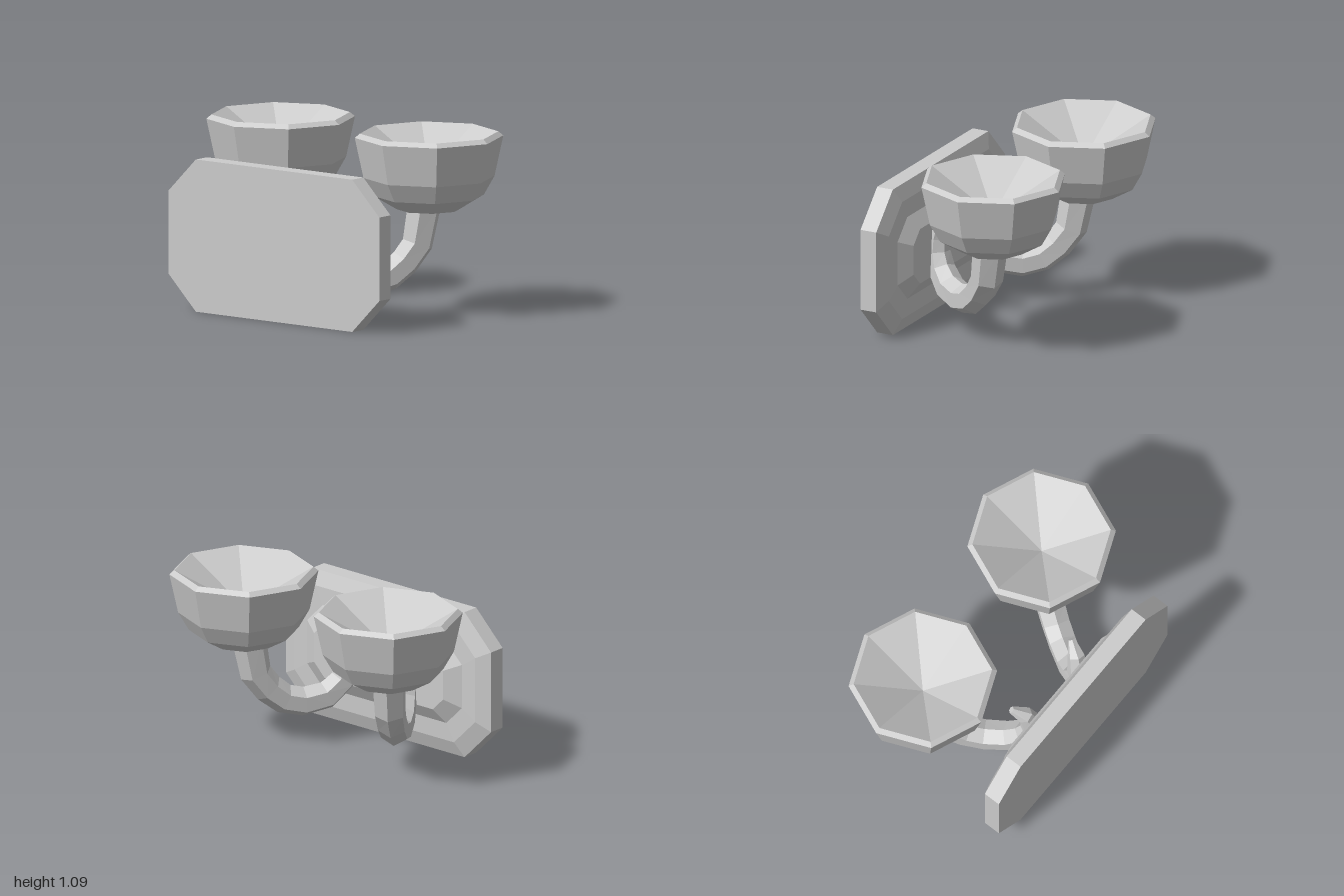
import * as THREE from 'three';

const material = new THREE.MeshStandardMaterial({ color: 0xcccccc, flatShading: true });

function named(geometry, name) {
  const mesh = new THREE.Mesh(geometry, material);
  mesh.name = name;
  return mesh;
}

// Closed skin over rings of points that run anticlockwise about the direction of travel
function loft(rings) {
  const pos = [], index = [];
  const n = rings[0].length, last = rings.length - 1;
  rings.forEach(r => r.forEach(p => pos.push(p.x, p.y, p.z)));
  for (let i = 0; i < last; i++) {
    for (let j = 0; j < n; j++) {
      const a = i * n + j, b = i * n + (j + 1) % n;
      index.push(a, b, b + n, a, b + n, a + n);
    }
  }
  for (let j = 1; j < n - 1; j++) {
    index.push(0, j + 1, j);
    index.push(last * n, last * n + j, last * n + j + 1);
  }
  const g = new THREE.BufferGeometry();
  g.setAttribute('position', new THREE.Float32BufferAttribute(pos, 3));
  g.setIndex(index);
  g.computeVertexNormals();
  return g;
}

// Rectangle with cut corners, at depth z
function plateRing([w, h, cut, z]) {
  const pts = [
    [w, -h + cut], [w, h - cut], [w - cut, h], [-w + cut, h],
    [-w, h - cut], [-w, -h + cut], [-w + cut, -h], [w - cut, -h],
  ];
  return pts.map(([x, y]) => new THREE.Vector3(x, y + 0.454, z));
}

// Hook centre line: z, y, radius
const HOOK = [
  [-0.135, 0.66, 0.104], [-0.098, 0.43, 0.096], [-0.03, 0.325, 0.092], [0.05, 0.25, 0.09],
  [0.15, 0.22, 0.09], [0.275, 0.245, 0.088], [0.358, 0.33, 0.08], [0.39, 0.43, 0.07],
  [0.386, 0.525, 0.064], [0.355, 0.63, 0.052], [0.286, 0.694, 0.022],
];
const SLANT = 0.62;

// Six-sided tapering arm in a vertical plane that slants towards the middle of the plate
function armGeometry(side) {
  const centres = HOOK.map(([z, y]) => new THREE.Vector3(side * (0.56 - SLANT * (z + 0.16)), y, z));
  const across = new THREE.Vector3(1, 0, side * SLANT).normalize();
  const rings = centres.map((c, i) => {
    const next = centres[Math.min(i + 1, centres.length - 1)];
    const prev = centres[Math.max(i - 1, 0)];
    const t = next.clone().sub(prev).normalize();
    const n = new THREE.Vector3().crossVectors(across, t).normalize();
    const b = new THREE.Vector3().crossVectors(t, n);
    const r = HOOK[i][2];
    return Array.from({ length: 6 }, (_, j) => {
      const a = j * Math.PI / 3;
      return c.clone().addScaledVector(n, r * Math.cos(a)).addScaledVector(b, r * Math.sin(a));
    });
  });
  return loft(rings);
}

// Cup: faceted outer wall, bevelled rim, shallow conical hollow
const CUP = [
  [0, 0.635], [0.19, 0.635], [0.325, 0.715], [0.388, 0.825],
  [0.44, 1.065], [0.41, 1.09], [0, 0.85],
];

export function createModel() {
  const group = new THREE.Group();
  group.name = 'wallLamp';

  // Stepped wall plate: half width, half height, corner cut, z
  const plate = [
    [0.5, 0.17, 0.08, 0.405], [0.6, 0.255, 0.12, 0.458], [0.7, 0.365, 0.165, 0.462],
    [0.795, 0.454, 0.205, 0.495], [0.795, 0.454, 0.205, 0.6],
  ];
  group.add(named(loft(plate.map(plateRing)), 'wallPlate'));

  // Two arms with their cups
  for (const [side, label] of [[1, 'left'], [-1, 'right']]) {
    group.add(named(armGeometry(side), label + 'Arm'));
    const cup = named(new THREE.LatheGeometry(CUP.map(p => new THREE.Vector2(...p)), 8), label + 'Cup');
    cup.position.set(side * 0.56, 0, -0.16);
    group.add(cup);
  }
  return group;
}
